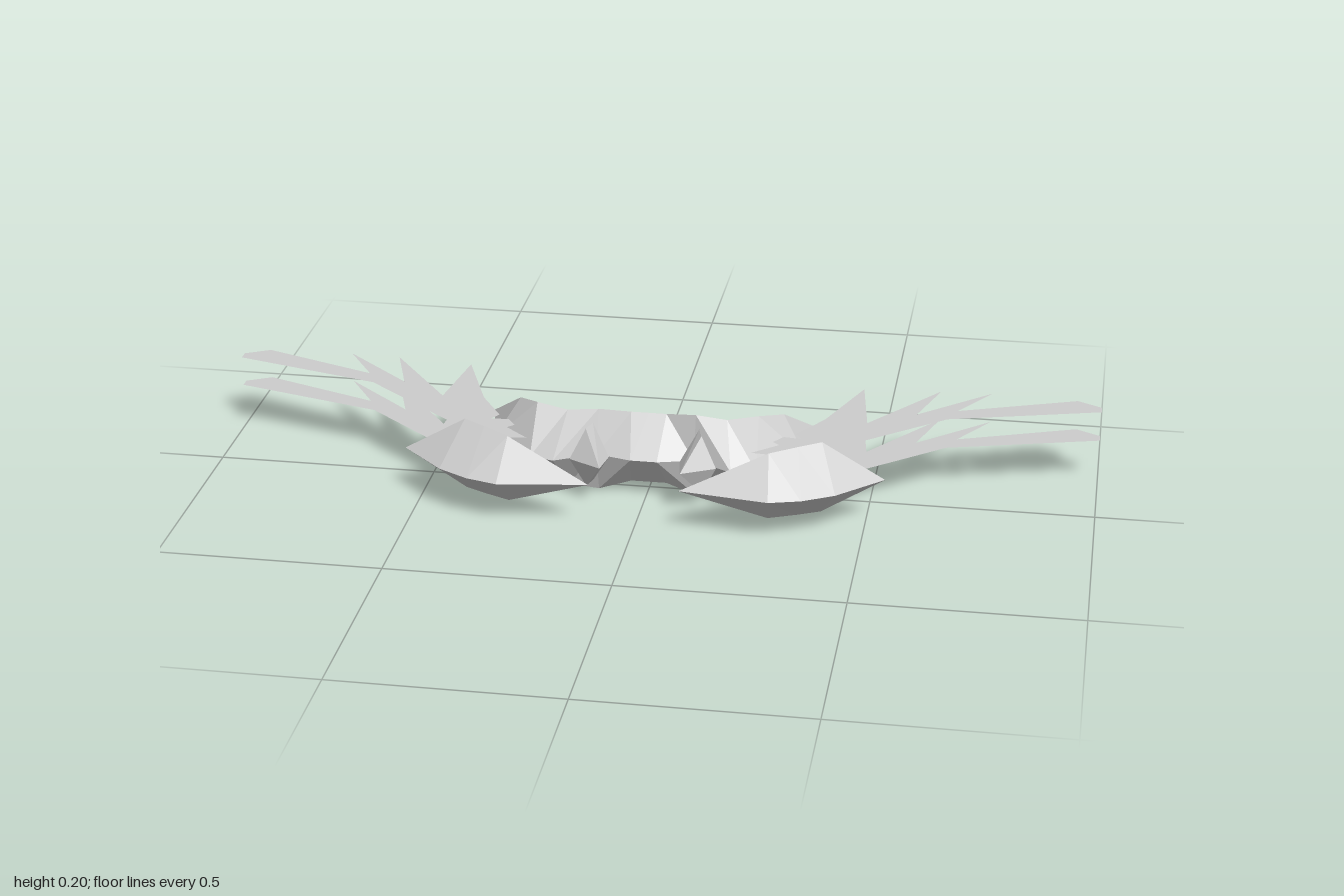
import * as THREE from 'three';
import { ConvexGeometry } from 'three/addons/geometries/ConvexGeometry.js';

const MID = 0.102; // height of the horizontal mirror plane

// Diamond cross-section: front and back edges on the mid plane, ridge above and below.
const ring = ([fx, fz, cx, cy, cz, bx, bz]) => [
  [fx, MID, fz], [cx, cy, cz], [bx, MID, bz], [cx, 2 * MID - cy, cz],
];

// Faceted strip of triangles between successive rings.
function loft(rings) {
  const tris = [];
  for (let i = 0; i < rings.length - 1; i++) {
    for (let k = 0; k < 4; k++) {
      const n = (k + 1) % 4;
      const a = rings[i][k], b = rings[i][n], c = rings[i + 1][k], d = rings[i + 1][n];
      tris.push([a, c, b], [b, c, d]);
    }
  }
  return tris;
}

// Triangle list to geometry; side = -1 mirrors it and keeps faces outward.
function facets(tris, side) {
  const pos = [];
  for (const [a, b, c] of tris) {
    for (const p of side > 0 ? [a, b, c] : [a, c, b]) pos.push(p[0] * side, p[1], p[2]);
  }
  const geo = new THREE.BufferGeometry();
  geo.setAttribute('position', new THREE.Float32BufferAttribute(pos, 3));
  geo.computeVertexNormals();
  return geo;
}

export function createModel() {
  const model = new THREE.Group();
  const grey = new THREE.MeshStandardMaterial({
    name: 'paleGrey', color: 0xcccccc, flatShading: true, side: THREE.DoubleSide,
  });
  const add = (geo, name) => {
    const mesh = new THREE.Mesh(geo, grey);
    mesh.name = name;
    model.add(mesh);
    return mesh;
  };

  // Half of the central crescent, from the middle to its swept-back tip
  const bodyRings = [
    [0, 0.087, 0, 0.187, 0.01, 0, -0.075],
    [0.03, 0.087, 0.04, 0.187, 0.01, 0.08, -0.08],
    [0.11, 0.065, 0.11, 0.2, 0.035, 0.13, -0.068],
    [0.2, 0.115, 0.18, 0.193, 0.035, 0.19, -0.045],
    [0.255, 0.1, 0.25, 0.204, 0.028, 0.235, -0.08],
    [0.355, 0.01, 0.3, 0.187, -0.03, 0.31, -0.112],
    [0.385, -0.143, 0.385, MID, -0.143, 0.385, -0.143],
  ].map(ring);

  // Front blade: pointed inward and outward, with a hooked back
  const bladeRings = [
    [0.1, 0.228, 0.1, MID, 0.228, 0.1, 0.228],
    [0.3, 0.257, 0.29, 0.18, 0.17, 0.27, 0.135],
    [0.37, 0.237, 0.35, 0.184, 0.135, 0.33, 0.07],
    [0.44, 0.197, 0.4, 0.186, 0.105, 0.38, -0.01],
  ].map(ring);
  const [front, top, back, bottom] = bladeRings[3];
  const tip = [0.54, MID, 0.098];
  const bladeTris = loft(bladeRings).concat([
    [front, tip, top], [bottom, tip, front], [top, tip, bottom], [top, bottom, back],
  ]);

  // Flat feathered wing outline in x, z
  const wing = [
    [1, -0.19], [1, -0.215], [0.945, -0.245], [0.68, -0.145], [0.75, -0.255],
    [0.59, -0.11], [0.635, -0.25], [0.485, -0.045], [0.46, -0.235], [0.39, -0.05],
    [0.335, 0.04], [0.35, 0.065], [0.31, 0.06], [0.29, 0.09], [0.305, 0.105], [0.25, 0.155],
    [0.3, 0.16], [0.36, 0.125], [0.43, 0.1], [0.66, -0.095],
  ];

  // Small tooth on the inner front of the body
  const tooth = [[0.09, MID, 0.14], [0.13, 0.172, 0.085], [0.12, 0.172, 0.05],
    [0.165, MID, 0.1], [0.08, MID, 0.075]];

  for (const side of [1, -1]) {
    const label = side > 0 ? 'left' : 'right';
    add(facets(loft(bodyRings), side), label + 'Body');
    add(facets(bladeTris, side), label + 'Blade');

    const shape = new THREE.Shape(wing.map(([x, z]) => new THREE.Vector2(x * side, -z)));
    const flat = new THREE.ShapeGeometry(shape).rotateX(-Math.PI / 2);
    add(flat, label + 'UpperWing').position.y = 0.172;
    add(flat, label + 'LowerWing').position.y = MID;

    const pts = tooth.flatMap(([x, y, z]) => [
      new THREE.Vector3(x * side, y, z), new THREE.Vector3(x * side, 2 * MID - y, z),
    ]);
    add(new ConvexGeometry(pts), label + 'Tooth');
  }
  return model;
}
